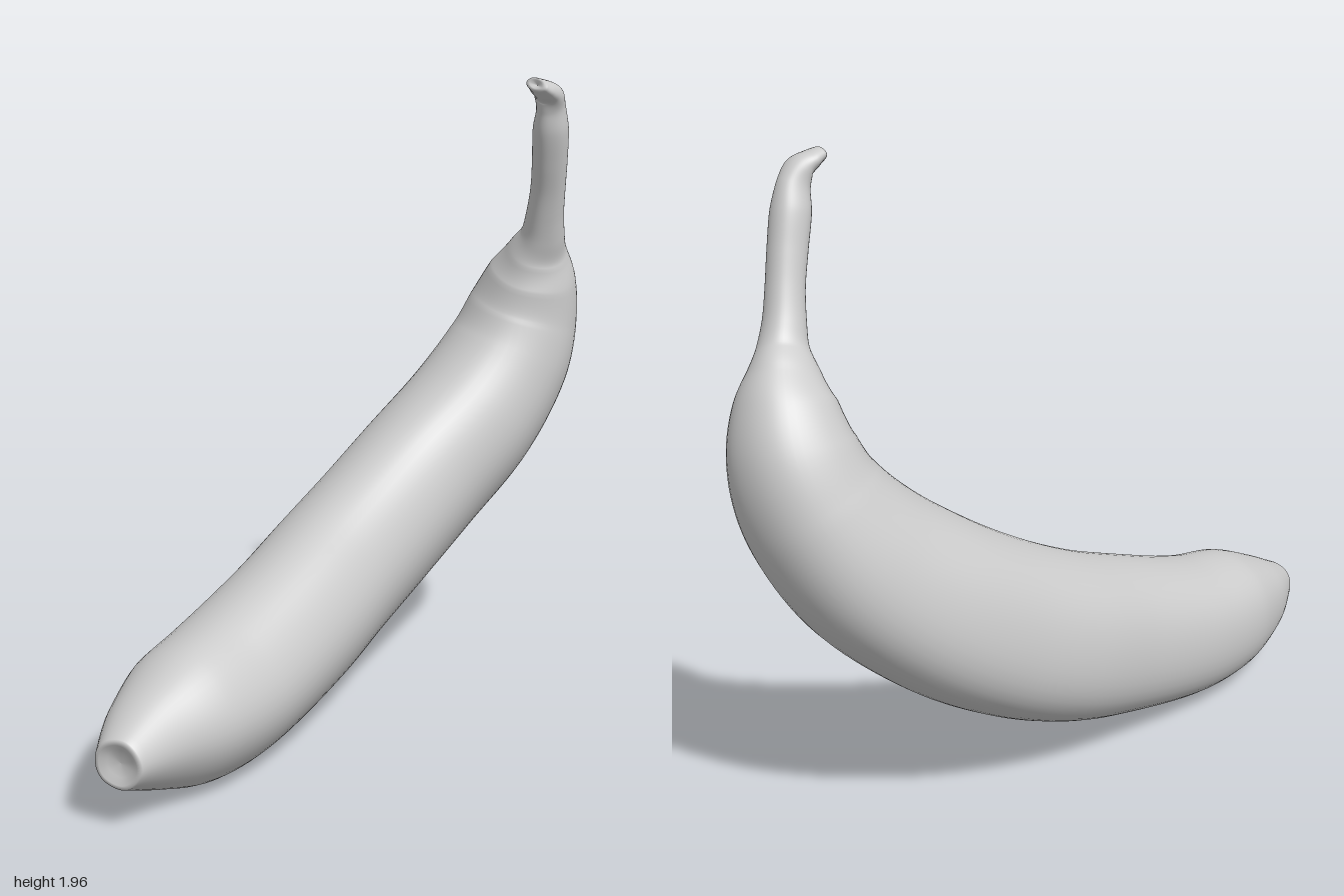
import * as THREE from 'three';

// Stations along the fruit: centre x, y, z, then radius in the bend plane and across it
const STATIONS = [
  [-0.955, 0.205, 0.54, 0.075, 0.075],
  [-0.83, 0.212, 0.43, 0.148, 0.142],
  [-0.69, 0.222, 0.33, 0.205, 0.2],
  [-0.5, 0.24, 0.195, 0.232, 0.222],
  [-0.2, 0.33, -0.005, 0.258, 0.226],
  [0, 0.412, -0.143, 0.268, 0.226],
  [0.2, 0.515, -0.25, 0.272, 0.226],
  [0.41, 0.65, -0.335, 0.268, 0.228],
  [0.63, 0.83, -0.378, 0.25, 0.228],
  [0.77, 1.02, -0.387, 0.216, 0.212],
  [0.82, 1.17, -0.375, 0.188, 0.185],
  [0.83, 1.3, -0.335, 0.15, 0.145],
  [0.825, 1.38, -0.298, 0.11, 0.098],
  [0.82, 1.44, -0.26, 0.078, 0.072],
  [0.81, 1.51, -0.23, 0.064, 0.061],
  [0.8, 1.6, -0.198, 0.058, 0.056],
  [0.785, 1.7, -0.165, 0.06, 0.056],
  [0.768, 1.8, -0.135, 0.061, 0.056],
  [0.755, 1.87, -0.115, 0.051, 0.045],
  [0.735, 1.912, -0.097, 0.04, 0.05],
  [0.703, 1.932, -0.082, 0.03, 0.052],
  [0.675, 1.946, -0.07, 0.022, 0.043],
];
const ROWS = 170;
const SIDES = 48;
const PLANE_NORMAL = new THREE.Vector3(0.56, -0.34, 0.76).normalize();

function sweepGeometry() {
  const spine = new THREE.CatmullRomCurve3(STATIONS.map((s) => new THREE.Vector3(s[0], s[1], s[2])));
  const radii = new THREE.CatmullRomCurve3(
    STATIONS.map((s) => new THREE.Vector3(s[3], s[4], 0)), false, 'catmullrom', 0.5);

  // Each row: curve parameter, scale of the ring, shift along the spine
  const rows = [[0, 0, 0.012], [0, 0.55, 0.008], [0, 0.8, -0.006], [0, 0.94, -0.003]];
  for (let i = 0; i <= ROWS; i++) rows.push([i / ROWS, 1, 0]);
  rows.push([1, 0.88, 0.006], [1, 0.6, 0.006], [1, 0, -0.006]);

  const positions = [];
  const index = [];
  rows.forEach(([t, scale, shift], i) => {
    const tangent = spine.getTangent(t);
    const normal = new THREE.Vector3().crossVectors(PLANE_NORMAL, tangent).normalize();
    const across = new THREE.Vector3().crossVectors(tangent, normal);
    const centre = spine.getPoint(t).addScaledVector(tangent, shift);
    const r = radii.getPoint(t);
    for (let j = 0; j < SIDES; j++) {
      const a = (j / SIDES) * Math.PI * 2;
      const k = scale * (1 + 0.013 * Math.cos(5 * a)); // five soft ridges
      const p = centre.clone()
        .addScaledVector(normal, r.x * k * Math.cos(a))
        .addScaledVector(across, r.y * k * Math.sin(a));
      positions.push(p.x, p.y, p.z);
      if (i < rows.length - 1) {
        const p0 = i * SIDES + j;
        const p1 = i * SIDES + ((j + 1) % SIDES);
        index.push(p0, p1, p0 + SIDES, p1, p1 + SIDES, p0 + SIDES);
      }
    }
  });

  const geometry = new THREE.BufferGeometry();
  geometry.setAttribute('position', new THREE.Float32BufferAttribute(positions, 3));
  geometry.setIndex(index);
  geometry.computeVertexNormals();
  return geometry;
}

export function createModel() {
  const group = new THREE.Group();
  group.name = 'banana';

  // Peel, stem and blossom tip form one continuous skin
  const peel = new THREE.Mesh(sweepGeometry(), new THREE.MeshStandardMaterial({ color: 0xcccccc }));
  peel.name = 'peelWithStem';
  group.add(peel);
  return group;
}
